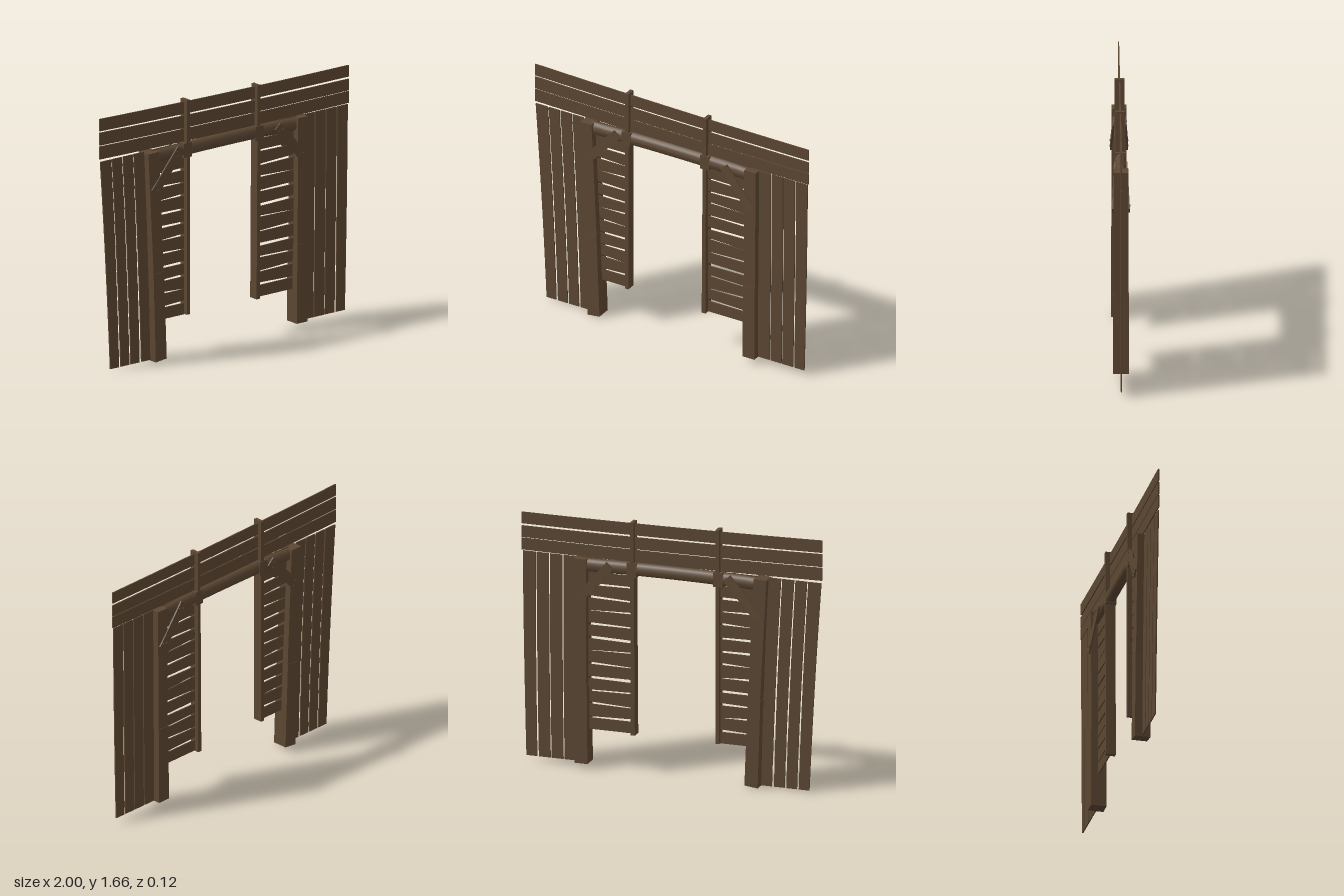
import * as THREE from 'three';

const wood = new THREE.MeshStandardMaterial({ color: 0x5c4733 });
wood.name = 'weathered brown wood';

export function createModel() {
  const model = new THREE.Group();
  model.name = 'timberGateway';

  const add = (name, geometry, parent = model) => {
    const mesh = new THREE.Mesh(geometry, wood);
    mesh.name = name;
    parent.add(mesh);
    return mesh;
  };

  const group = (name) => {
    const g = new THREE.Group();
    g.name = name;
    model.add(g);
    return g;
  };

  // Timber with four front corners (bottom left, bottom right, top right, top left),
  // a depth in z and an optional bow across x or y.
  const timber = (name, [bl, br, tr, tl], depth, parent, bowX = 0, bowY = 0) => {
    const geo = new THREE.BoxGeometry(1, 1, depth, bowY ? 10 : 1, bowX ? 10 : 1, 1);
    const p = geo.attributes.position;
    const mix = THREE.MathUtils.lerp;
    for (let i = 0; i < p.count; i++) {
      const u = p.getX(i) + 0.5, v = p.getY(i) + 0.5;
      p.setX(i, mix(mix(bl[0], br[0], u), mix(tl[0], tr[0], u), v) + bowX * 4 * v * (1 - v));
      p.setY(i, mix(mix(bl[1], br[1], u), mix(tl[1], tr[1], u), v) + bowY * 4 * u * (1 - u));
    }
    geo.computeVertexNormals();
    return add(name, geo, parent);
  };

  // Three long boards across the top: left bottom/top, right bottom/top
  const header = group('headerBoards');
  [[1.58, 1.66, 1.555, 1.63], [1.487, 1.57, 1.465, 1.54], [1.396, 1.48, 1.383, 1.46]]
    .forEach(([lb, lt, rb, rt]) => timber('headerBoard',
      [[-1, lb], [1, rb], [1, rt], [-1, lt]], 0.008, header, 0, -0.007));

  // Upright boards on both wings: bottom left/right x, top left/right x
  const wings = group('wingBoards');
  [[-0.915, -0.845, -0.995, -0.908], [-0.832, -0.762, -0.9, -0.823],
    [-0.75, -0.68, -0.814, -0.735], [-0.665, -0.595, -0.727, -0.645]]
    .forEach(([a, b, c, d]) => timber('leaningBoard',
      [[a, 0.008], [b, 0.008], [d, 1.378], [c, 1.378]], 0.008, wings, 0.005));
  [[0.625, 0.714, 0.635, 0.722], [0.722, 0.8, 0.73, 0.812],
    [0.808, 0.885, 0.819, 0.9], [0.897, 0.968, 0.908, 0.992]]
    .forEach(([a, b, c, d]) => timber('uprightBoard',
      [[a, 0.035], [b, 0.035], [d, 1.376], [c, 1.376]], 0.008, wings, 0.003));

  // Square posts, each spliced from two lengths
  const posts = group('posts');
  timber('leaningPostUpper', [[-0.6, 0.52], [-0.52, 0.525], [-0.56, 1.372], [-0.645, 1.37]], 0.094, posts);
  timber('leaningPostLower', [[-0.588, 0], [-0.5, 0.01], [-0.522, 0.585], [-0.606, 0.575]], 0.1, posts);
  timber('straightPostUpper', [[0.554, 0.54], [0.634, 0.54], [0.64, 1.376], [0.556, 1.376]], 0.094, posts);
  timber('straightPostLower', [[0.545, 0.035], [0.632, 0.035], [0.632, 0.55], [0.55, 0.55]], 0.1, posts);

  // Rounded lintel, flattened underneath and slightly arched
  const beam = new THREE.CylinderGeometry(0.046, 0.046, 1.16, 16, 12);
  beam.rotateZ(Math.PI / 2);
  const bp = beam.attributes.position;
  for (let i = 0; i < bp.count; i++) {
    const x = bp.getX(i);
    bp.setY(i, Math.max(bp.getY(i), -0.038) + 1.328 + 0.008 * (1 - (x / 0.58) ** 2));
    bp.setZ(i, bp.getZ(i) * 0.75);
  }
  beam.computeVertexNormals();
  add('lintelBeam', beam);

  // Slim hangers, wider in z than in x, with a collar around the lintel
  const hangers = group('hangers');
  timber('hanger', [[-0.325, 0.257], [-0.3, 0.257], [-0.3, 1.66], [-0.325, 1.66]], 0.064, hangers);
  timber('hanger', [[0.236, 0.25], [0.264, 0.25], [0.268, 1.648], [0.245, 1.648]], 0.064, hangers);
  for (const x of [-0.317, 0.258]) {
    const collar = add('lintelCollar', new THREE.BoxGeometry(0.064, 0.094, 0.07), hangers);
    collar.position.set(x, 1.334, 0);
  }

  // Uneven slats between each post and hanger
  const slats = group('slats');
  for (let i = 0; i < 13; i++) {
    const y = 0.254 + i * 0.0873;
    const t = 0.007 * Math.sin(i * 2.3);
    const h = 0.074 + 0.004 * Math.sin(i * 1.7);
    const post = -0.54 - 0.003 * i;
    timber('leftSlat', [[post, y - t], [-0.31, y + t], [-0.31, y + h], [post, y + h]], 0.008, slats);
    timber('rightSlat', [[0.255, y + t], [0.58, y - t], [0.58, y + h], [0.255, y + h - t]], 0.008, slats);
  }

  // Diagonal braces on both faces, with bolt heads at the ends
  const brace = (low, high, face) => {
    const a = new THREE.Vector3(low[0], low[1], face * 0.052);
    const b = new THREE.Vector3(high[0], high[1], face * 0.037);
    const g = group('brace');
    const along = b.clone().sub(a);
    const length = along.length();
    along.normalize();
    const side = new THREE.Vector3().crossVectors(along, new THREE.Vector3(0, 0, 1)).normalize();
    const out = new THREE.Vector3().crossVectors(side, along);
    g.position.copy(a).add(b).multiplyScalar(0.5);
    g.quaternion.setFromRotationMatrix(new THREE.Matrix4().makeBasis(side, along, out));
    add('bracePlank', new THREE.BoxGeometry(0.062, length, 0.01), g);
    for (const [x, y] of [[-0.015, 0.03], [0.015, 0.045]]) {
      for (const end of [-1, 1]) {
        const bolt = add('boltHead', new THREE.CylinderGeometry(0.006, 0.006, 0.018, 8), g);
        bolt.rotation.x = Math.PI / 2;
        bolt.position.set(x * end, end * (length / 2 - y), 0);
      }
    }
  };
  for (const face of [-1, 1]) {
    brace([-0.6, 1.112], [-0.378, 1.355], face);
    brace([0.607, 1.112], [0.4, 1.352], face);
  }

  return model;
}
